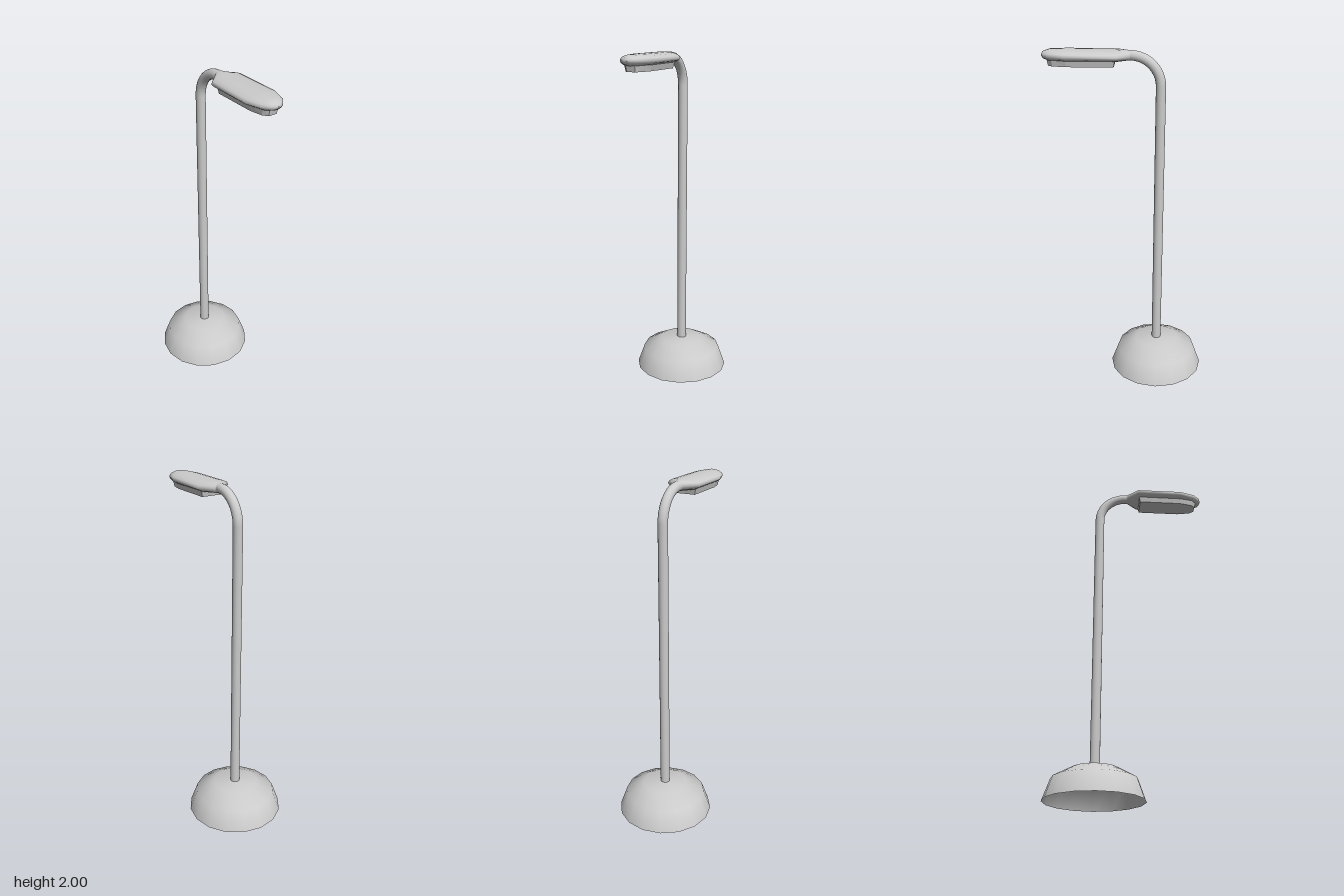
import * as THREE from 'three';

const POLE_Z = -0.187;
const TOP_Y = 1.967;
const material = new THREE.MeshStandardMaterial({ color: 0xcccccc, side: THREE.DoubleSide });

// Skins elliptical rings { y, z, tilt, w, h }; tilt 0 runs upward, PI/2 runs forward.
function loft(rings, sides = 16) {
  const positions = [], indices = [];
  rings.forEach(({ y, z, tilt, w, h }, r) => {
    for (let i = 0; i < sides; i++) {
      const a = (i / sides) * Math.PI * 2;
      const d = Math.sin(a) * h;
      positions.push(Math.cos(a) * w, y + d * Math.sin(tilt), z - d * Math.cos(tilt));
      if (r === 0) continue;
      const j = (i + 1) % sides, p = (r - 1) * sides, q = r * sides;
      indices.push(p + i, p + j, q + j, p + i, q + j, q + i);
    }
  });
  const geometry = new THREE.BufferGeometry();
  geometry.setAttribute('position', new THREE.Float32BufferAttribute(positions, 3));
  geometry.setIndex(indices);
  geometry.computeVertexNormals();
  return geometry;
}

function add(group, name, geometry, mat = material) {
  const mesh = new THREE.Mesh(geometry, mat);
  mesh.name = name;
  group.add(mesh);
  return mesh;
}

export function createModel() {
  const group = new THREE.Group();
  group.name = 'streetLamp';

  // Hollow domed foot, open underneath
  const profile = [[0.283, 0], [0.24, 0.12], [0.13, 0.18], [0, 0.188]];
  const base = add(group, 'base', new THREE.LatheGeometry(
    profile.map(([x, y]) => new THREE.Vector2(x, y)), 16));
  base.position.z = POLE_Z;

  // Straight pole with a quarter bend towards the front
  const radius = 0.028, bend = 0.17;
  const poleRings = [{ y: 0.18, z: POLE_Z, tilt: 0, w: radius, h: radius }];
  for (let i = 0; i <= 10; i++) {
    const t = (i / 10) * Math.PI / 2;
    poleRings.push({
      y: TOP_Y - bend + Math.sin(t) * bend,
      z: POLE_Z + bend - Math.cos(t) * bend,
      tilt: t, w: radius, h: radius,
    });
  }
  add(group, 'pole', loft(poleRings));

  // Flattened lamp head: z, half width, half height
  const headSections = [
    [-0.017, 0.028, 0.028], [-0.01, 0.03, 0.028], [0.055, 0.098, 0.032], [0.33, 0.098, 0.033],
    [0.42, 0.068, 0.031], [0.455, 0.038, 0.02], [0.464, 0.018, 0.01], [0.467, 0.001, 0.001],
  ];
  add(group, 'lampHead', loft(headSections.map(([z, w, h]) =>
    ({ y: TOP_Y, z, tilt: Math.PI / 2, w, h }))));

  // Tapered light panel below the head, following its rounded nose
  const outline = [[0.07, 0.06], [0.07, 0.33], [0.052, 0.41], [0.028, 0.437]];
  const loop = [...outline, ...outline.map(([x, z]) => [-x, z]).reverse()];
  const shape = new THREE.Shape(loop.map(([x, z]) => new THREE.Vector2(x, -z)));
  const panel = new THREE.ExtrudeGeometry(shape, { depth: 0.045, bevelEnabled: false });
  panel.rotateX(-Math.PI / 2);
  const pos = panel.attributes.position;
  for (let i = 0; i < pos.count; i++) {
    if (pos.getY(i) > 0.01) continue;
    pos.setX(i, pos.getX(i) * 0.86);
    pos.setZ(i, 0.25 + (pos.getZ(i) - 0.25) * 0.95);
  }
  panel.translate(0, 1.911, 0);
  panel.computeVertexNormals();
  add(group, 'lightPanel', panel);

  return group;
}
